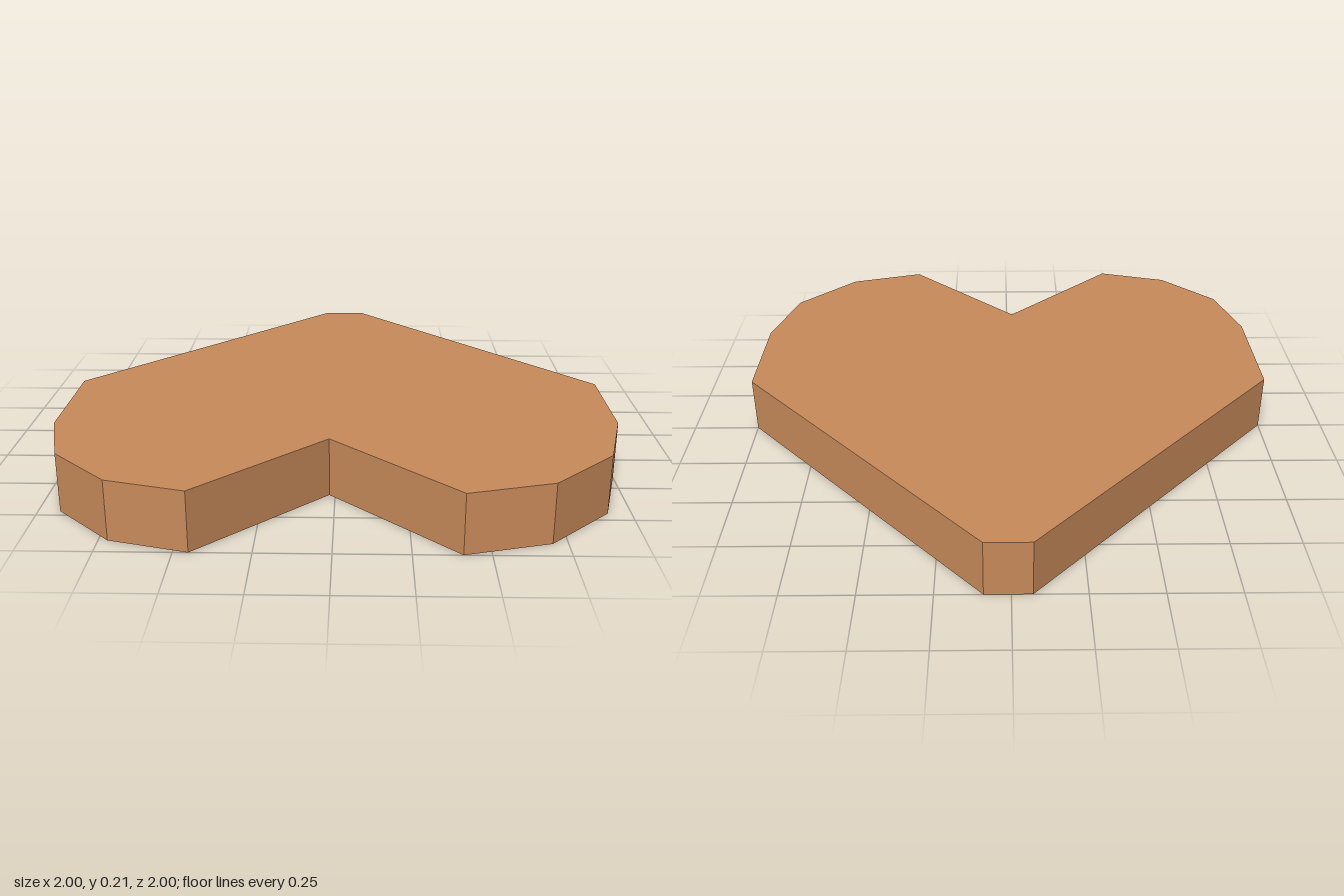
import * as THREE from 'three';

export function createModel() {
  const group = new THREE.Group();
  group.name = 'heartBlock';

  const wood = new THREE.MeshStandardMaterial({ color: 0xc88a5a, flatShading: true });
  wood.name = 'warm tan';

  const height = 0.212;

  // Faceted heart outline as (x, z): blunt tip at the back, notch at the front
  const outline = [
    [-0.07, -1], [0.09, -1],                                  // blunt tip
    [1, 0], [1, 0.41], [0.92, 0.7], [0.7, 0.92], [0.41, 1],   // left lobe
    [-0.02, 0.575],                                           // notch
    [-0.45, 1], [-0.72, 0.925], [-0.925, 0.72], [-1, 0.45], [-1, 0], // right lobe
  ];
  const shape = new THREE.Shape(outline.map(([x, z]) => new THREE.Vector2(x, z)));

  // Extrude, then lay flat on the ground
  const geometry = new THREE.ExtrudeGeometry(shape, { depth: height, bevelEnabled: false });
  geometry.rotateX(Math.PI / 2);
  geometry.translate(0, height, 0);

  const slab = new THREE.Mesh(geometry, wood);
  slab.name = 'heartSlab';
  group.add(slab);

  return group;
}
